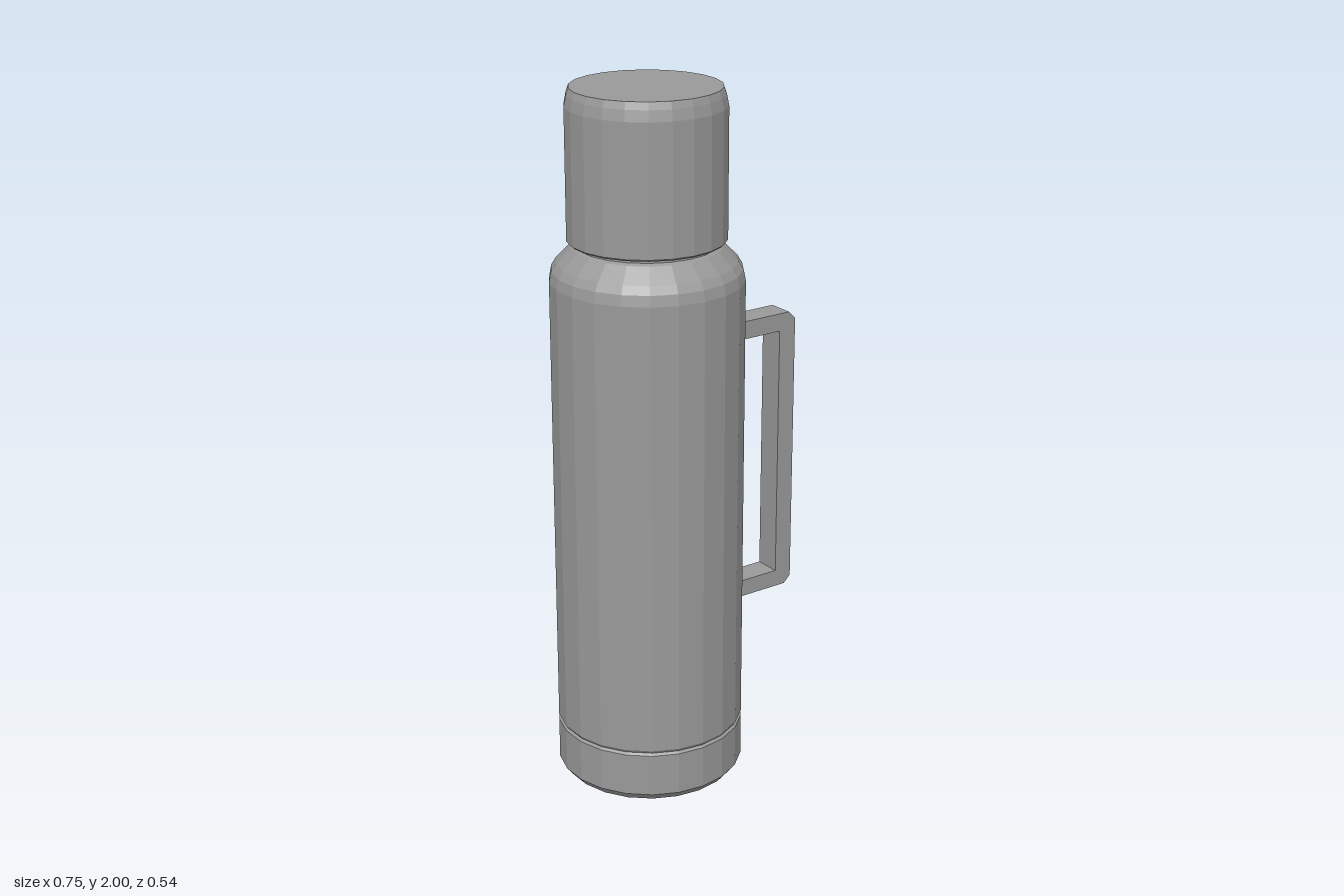
import * as THREE from 'three';

const SIDES = 22;
const AXIS_X = -0.109;

export function createModel() {
  const flask = new THREE.Group();
  flask.name = 'flask';
  const grey = new THREE.MeshStandardMaterial({ color: 0x999999 });
  grey.name = 'grey';

  const add = (name, geometry, x = 0) => {
    const mesh = new THREE.Mesh(geometry, grey);
    mesh.name = name;
    mesh.position.x = x;
    flask.add(mesh);
  };

  // Faceted turned part from a bottom-to-top list of [radius, height]
  const turned = (name, profile) => {
    const points = profile.map(([r, y]) => new THREE.Vector2(r, y));
    const geometry = new THREE.LatheGeometry(points, SIDES).toNonIndexed();
    geometry.computeVertexNormals();
    add(name, geometry, AXIS_X);
  };

  // Base ring with a bevelled foot
  turned('base', [[0, 0], [0.25, 0], [0.268, 0.023], [0.268, 0.148], [0.261, 0.154], [0, 0.154]]);

  // Main body with a rounded shoulder
  turned('body', [
    [0, 0.154], [0.261, 0.154], [0.268, 0.164], [0.268, 1.475], [0.262, 1.505],
    [0.248, 1.527], [0.208, 1.568], [0.196, 1.573], [0, 1.573],
  ]);

  // Narrow neck between body and cup
  turned('neck', [[0.196, 1.56], [0.196, 1.6]]);

  // Cup lid with bevelled top
  turned('cupLid', [[0, 1.583], [0.214, 1.583], [0.219, 1.588], [0.219, 1.95], [0.213, 1.98], [0.206, 2], [0, 2]]);

  // Square-section handle with cut outer corners
  const outline = [
    [0.12, 0.45], [0.352, 0.45], [0.374, 0.472], [0.374, 1.28], [0.352, 1.302],
    [0.12, 1.302], [0.12, 1.25], [0.319, 1.25], [0.319, 0.5], [0.12, 0.5],
  ].map(([x, y]) => new THREE.Vector2(x, y));
  const handle = new THREE.ExtrudeGeometry(new THREE.Shape(outline), { depth: 0.078, bevelEnabled: false });
  handle.translate(0, 0, -0.039);
  add('handle', handle);

  return flask;
}
